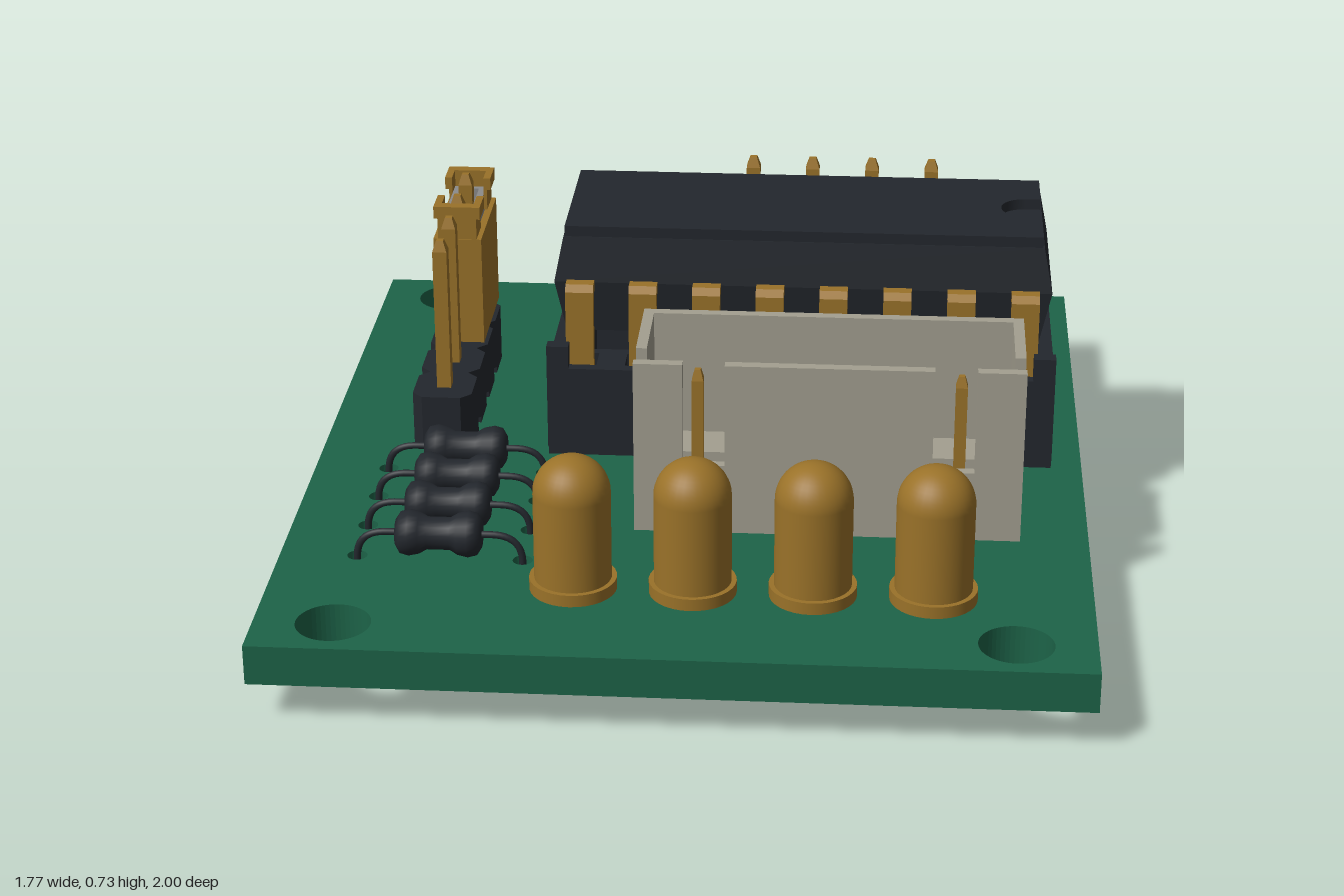
import * as THREE from 'three';

const mat = (color) => new THREE.MeshStandardMaterial({ color });
const GREEN = mat(0x1d6348), GOLD = mat(0x9a7229), DARK = mat(0x23272d),
  CREAM = mat(0xa39f90), GREY = mat(0x8c8c8c);
const PITCH = 0.1455;

function add(parent, name, geo, material, x = 0, y = 0, z = 0) {
  const m = new THREE.Mesh(geo, material);
  m.name = name;
  m.position.set(x, y, z);
  parent.add(m);
  return m;
}
function group(parent, name, x = 0, y = 0, z = 0) {
  const g = new THREE.Group();
  g.name = name;
  g.position.set(x, y, z);
  parent.add(g);
  return g;
}
// box given by its limits
function block(parent, name, material, x0, x1, y0, y1, z0, z1) {
  return add(parent, name, new THREE.BoxGeometry(x1 - x0, y1 - y0, z1 - z0), material,
    (x0 + x1) / 2, (y0 + y1) / 2, (z0 + z1) / 2);
}
const poly = (pts) => new THREE.Shape(pts.map(([a, b]) => new THREE.Vector2(a, b)));
const rect = (x0, x1, y0, y1) => poly([[x0, y0], [x1, y0], [x1, y1], [x0, y1]]);
const circle = (x, y, r) => new THREE.Path().absarc(x, y, r, 0, Math.PI * 2, true);
// plan outline (x, z) raised from y0 to y1
function slab(shape, y0, y1) {
  return new THREE.ExtrudeGeometry(shape, { depth: y1 - y0, bevelEnabled: false, curveSegments: 24 })
    .rotateX(Math.PI / 2).translate(0, y1, 0);
}
// side outline (z, y) extended from x0 to x1
function sideWall(shape, x0, x1) {
  return new THREE.ExtrudeGeometry(shape, { depth: x1 - x0, bevelEnabled: false })
    .rotateY(-Math.PI / 2).translate(x1, 0, 0);
}
// square pin with tapered ends
function pin(parent, x, z, y0, y1, w = 0.033) {
  const g = group(parent, 'pin', x, 0, z);
  const t = 0.025;
  block(g, 'pinShaft', GOLD, -w / 2, w / 2, y0 + t, y1 - t, -w / 2, w / 2);
  const tip = (rt, rb) => new THREE.CylinderGeometry(rt, rb, t, 4).rotateY(Math.PI / 4).toNonIndexed();
  const r = w * Math.SQRT1_2;
  for (const [a, b, y] of [[r * 0.5, r, y1 - t / 2], [r, r * 0.5, y0 + t / 2]]) {
    const geo = tip(a, b);
    geo.computeVertexNormals();
    add(g, 'pinTip', geo, GOLD, 0, y, 0);
  }
}

// four-way pin header running along x
function header(parent, name, x, z, turn) {
  const g = group(parent, name, x, 0, z);
  g.rotation.y = turn;
  const h = PITCH / 2, d = 0.069, c = 0.024;
  for (let i = 0; i < 4; i++) {
    const px = (i - 1.5) * PITCH;
    const s = poly([[-h, -d + c], [-h + c, -d], [h - c, -d], [h, -d + c],
      [h, d - c], [h - c, d], [-h + c, d], [-h, d - c]]);
    add(g, 'headerCell', slab(s, 0.195, 0.32), DARK, px);
    block(g, 'headerFoot', DARK, px - h + c, px + h - c, 0.18, 0.195, -d, d);
    pin(g, px, 0, 0.035, 0.685);
  }
}

function jumper(parent) {
  const g = group(parent, 'jumper', -0.596, 0, -0.386);
  const shell = rect(-0.057, 0.057, -0.14, 0.14);
  shell.holes.push(rect(-0.04, 0.04, -0.112, 0.112));
  add(g, 'jumperShell', slab(shell, 0.335, 0.6), GOLD);
  const clip = rect(-0.038, 0.038, -0.11, 0.11);
  clip.holes.push(rect(-0.022, 0.022, -0.094, 0.094));
  add(g, 'contactClip', slab(clip, 0.345, 0.64), GREY);
  // gripping ends
  for (const s of [-1, 1]) {
    const u = (w, a) => poly([[-w, s * 0.138], [w, s * 0.138], [w, s * 0.06], [a, s * 0.06],
      [a, s * 0.112], [-a, s * 0.112], [-a, s * 0.06], [-w, s * 0.06]]);
    add(g, 'gripNeck', slab(u(0.046, 0.038), 0.6, 0.65), GOLD);
    add(g, 'gripRim', slab(u(0.055, 0.038), 0.65, 0.68), GOLD);
  }
}

function chipAndSocket(parent) {
  const g = group(parent, 'chipAndSocket', 0.231, 0, -0.2155);
  const X = 0.582, Z = 0.288;
  const pinX = Array.from({ length: 8 }, (_, i) => (i - 3.5) * PITCH);
  // socket rails with a pocket for each leg
  for (const s of [-1, 1]) {
    const zr = (a, b) => (s > 0 ? [a, b] : [-b, -a]);
    const rail = rect(-X, X, ...zr(0.17, Z));
    for (const x of pinX) rail.holes.push(rect(x - 0.04, x + 0.04, ...zr(0.195, 0.262)));
    add(g, 'socketRail', slab(rail, 0.215, 0.414), DARK);
    block(g, 'railBase', DARK, -X, X, 0.19, 0.215, ...zr(0.18, Z - 0.015));
    for (const e of [-1, 1]) {
      block(g, 'cornerPost', DARK, e > 0 ? X - 0.05 : -X, e > 0 ? X : -X + 0.05,
        0.414, 0.468, ...zr(Z - 0.032, Z));
    }
    for (const x of pinX) {
      // socket contact and chip leg bent over the shoulder
      block(g, 'socketContact', GOLD, x - 0.038, x + 0.038, 0.215, 0.36, ...zr(0.2, 0.26));
      pin(g, x, s * 0.218, 0, 0.25, 0.036);
      const leg = poly([[0.17, 0.575], [0.216, 0.575], [0.222, 0.569], [0.222, 0.36], [0.244, 0.36],
        [0.244, 0.585], [0.23, 0.6], [0.17, 0.6]].map(([a, b]) => [s * a, b]));
      add(g, 'chipLeg', sideWall(leg, x - 0.032, x + 0.032), GOLD);
    }
  }
  // socket ends with a small window
  for (const e of [-1, 1]) {
    const end = rect(-0.172, 0.172, 0.2, 0.414);
    end.holes.push(rect(-0.06, 0.06, 0.21, 0.275));
    add(g, 'socketEnd', sideWall(end, e > 0 ? X - 0.07 : -X, e > 0 ? X : -X + 0.07), DARK);
  }
  // chip body, widest at its seam
  const geo = new THREE.BoxGeometry(2, 2, 2, 1, 2, 1).toNonIndexed();
  const p = geo.attributes.position;
  const rows = { '-1': [0.545, 0.468, 0.183], 0: [0.57, 0.595, 0.203], 1: [0.549, 0.7, 0.186] };
  for (let i = 0; i < p.count; i++) {
    const [hx, y, hz] = rows[Math.round(p.getY(i))];
    p.setXYZ(i, Math.sign(p.getX(i)) * hx, y, Math.sign(p.getZ(i)) * hz);
  }
  geo.computeVertexNormals();
  add(g, 'chipBody', geo, DARK);
  const top = new THREE.Shape();
  top.moveTo(0.546, 0.057).lineTo(0.546, 0.184).lineTo(-0.546, 0.184)
    .lineTo(-0.546, -0.184).lineTo(0.546, -0.184).lineTo(0.546, -0.057).lineTo(0.51, -0.057);
  top.absarc(0.51, 0, 0.057, -Math.PI / 2, -Math.PI * 1.5, true);
  add(g, 'chipTop', slab(top, 0.7, 0.725), DARK);
}

function connector(parent) {
  const g = group(parent, 'connector');
  const x0 = -0.12, x1 = 0.733, z0 = 0.122, z1 = 0.43, y0 = 0.187, y1 = 0.59, t = 0.024;
  block(g, 'connectorFloor', CREAM, x0 + t, x1 - t, y0, 0.26, z0, z1 - t);
  block(g, 'connectorStep', CREAM, x0 + t, x1 - t, 0.26, 0.3, z0 + t, 0.255);
  block(g, 'backWall', CREAM, x0 + t, x1 - t, y0, y1, z0, z0 + t);
  const side = () => poly([[z0, y0], [z1 - t, y0], [z1 - t, 0.42], [0.345, 0.42], [0.345, y1], [z0, y1]]);
  add(g, 'sideWall', sideWall(side(), x0, x0 + t), CREAM);
  add(g, 'sideWall', sideWall(side(), x1 - t, x1), CREAM);
  const front = poly([[x0, y0], [x1, y0], [x1, y1], [0.627, y1], [0.627, 0.35], [0.535, 0.35], [0.535, y1],
    [0.08, y1], [0.08, 0.35], [-0.012, 0.35], [-0.012, y1], [x0, y1]]);
  add(g, 'frontWall', new THREE.ExtrudeGeometry(front, { depth: t, bevelEnabled: false }), CREAM, 0, 0, z1 - t);
  for (let i = 0; i < 5; i++) pin(g, 0.014 + i * PITCH, 0.312, 0.03, 0.53, 0.026);
}

function lamp(parent, x) {
  const g = group(parent, 'lamp', x, 0, 0.72);
  const pts = [[0, 0.195], [0.094, 0.195], [0.094, 0.222], [0.083, 0.222], [0.083, 0.42]]
    .map(([a, b]) => new THREE.Vector2(a, b));
  // separate lathes keep the rim edges crisp
  for (let i = 0; i < 4; i++) add(g, 'lampBody', new THREE.LatheGeometry([pts[i], pts[i + 1]], 32), GOLD);
  add(g, 'lampDome', new THREE.SphereGeometry(0.083, 32, 12, 0, Math.PI * 2, 0, Math.PI / 2), GOLD, 0, 0.42);
  for (const s of [-1, 1]) block(g, 'lampLead', GOLD, -0.012, 0.012, 0.075, 0.2, s * 0.04 - 0.012, s * 0.04 + 0.012);
}

function resistor(parent, z) {
  const g = group(parent, 'resistor', -0.533, 0.24, z);
  const profile = [[0, -0.094], [0.03, -0.094], [0.046, -0.084], [0.051, -0.065], [0.046, -0.042], [0.036, -0.025],
    [0.036, 0.025], [0.046, 0.042], [0.051, 0.065], [0.046, 0.084], [0.03, 0.094], [0, 0.094]];
  const body = new THREE.LatheGeometry(profile.map(([a, b]) => new THREE.Vector2(a, b)), 24).rotateZ(-Math.PI / 2);
  add(g, 'resistorBody', body, DARK);
  for (const s of [-1, 1]) {
    const path = new THREE.CurvePath();
    const v = (x, y) => new THREE.Vector3(s * x, y, 0);
    path.add(new THREE.LineCurve3(v(0.08, 0), v(0.115, 0)));
    path.add(new THREE.QuadraticBezierCurve3(v(0.115, 0), v(0.182, 0), v(0.182, -0.065)));
    path.add(new THREE.LineCurve3(v(0.182, -0.065), v(0.182, -0.175)));
    add(g, 'resistorLead', new THREE.TubeGeometry(path, 24, 0.008, 8), DARK);
    add(g, 'leadEnd', new THREE.CylinderGeometry(0.008, 0.008, 0.006, 8), DARK, s * 0.182, -0.175);
  }
}

export function createModel() {
  const model = new THREE.Group();
  model.name = 'circuitBoard';
  const resistorZ = [0.14, 0.286, 0.432, 0.578];

  // board with mounting holes and lead holes
  const board = rect(-0.885, 0.885, -1, 1);
  for (const x of [-0.715, 0.715]) for (const z of [-0.886, 0.886]) board.holes.push(circle(x, z, 0.08));
  for (const x of [-0.346, -0.2, -0.055]) board.holes.push(circle(x, -0.632, 0.022));
  for (const z of resistorZ) for (const x of [-0.715, -0.351]) board.holes.push(circle(x, z, 0.022));
  add(model, 'board', slab(board, 0.09, 0.18), GREEN);

  header(model, 'backHeader', 0.306, -0.632, 0);
  header(model, 'sideHeader', -0.603, -0.245, Math.PI / 2);
  jumper(model);
  chipAndSocket(model);
  connector(model);
  for (let i = 0; i < 4; i++) lamp(model, -0.225 + i * 0.2557);
  for (const z of resistorZ) resistor(model, z);
  return model;
}
